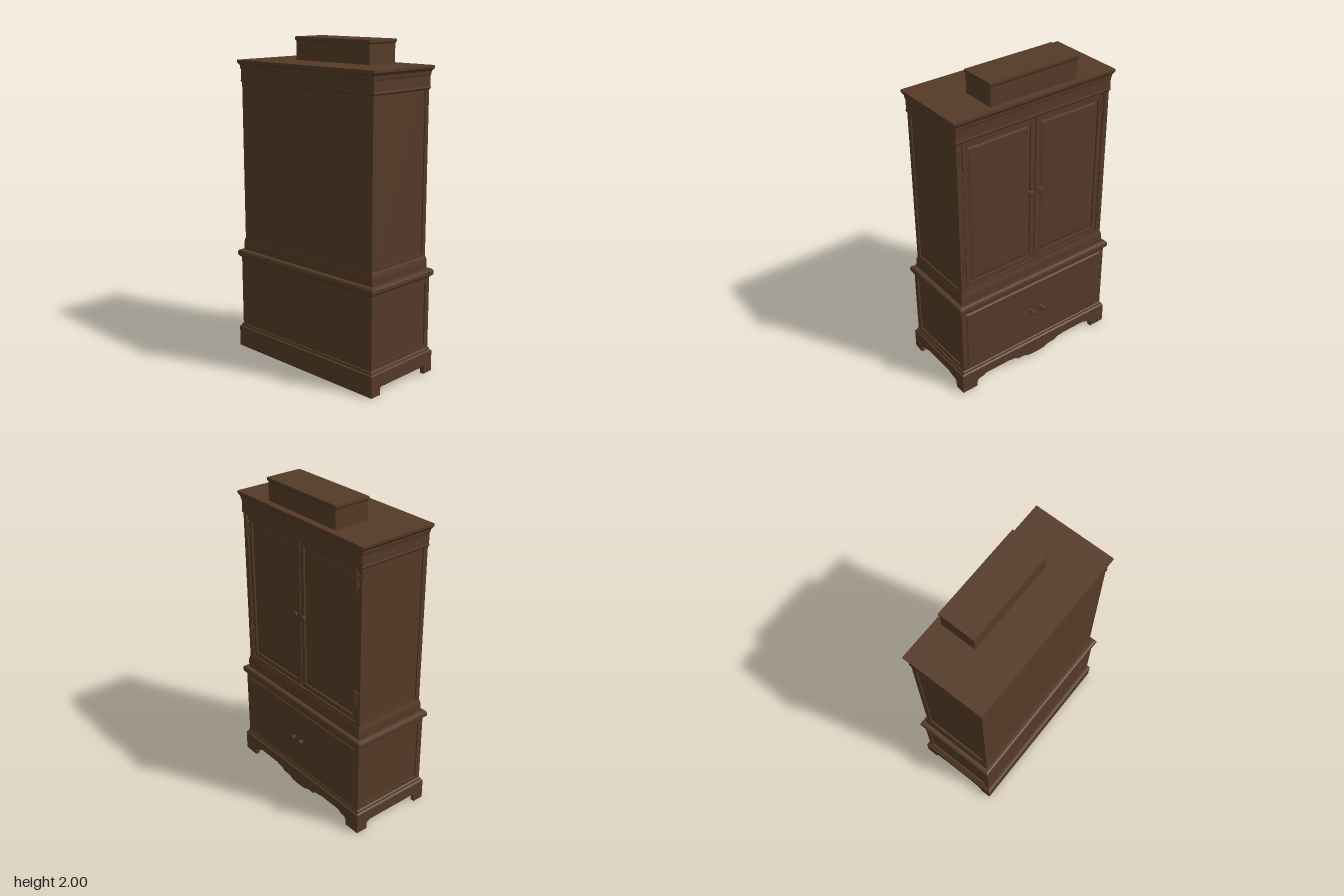
import * as THREE from 'three';

const wood = new THREE.MeshStandardMaterial({ color: 0x553a27 });
wood.name = 'dark walnut';
const ZC = 0.013; // depth centre of the carcass

export function createModel() {
  const root = new THREE.Group();
  root.name = 'armoire';

  const add = (name, geo, x = 0, y = 0, z = 0) => {
    const m = new THREE.Mesh(geo, wood);
    m.name = name;
    m.position.set(x, y, z);
    root.add(m);
    return m;
  };
  // axis-aligned block from minimum and maximum corners
  const block = (name, x0, x1, y0, y1, z0, z1) =>
    add(name, new THREE.BoxGeometry(x1 - x0, y1 - y0, z1 - z0), (x0 + x1) / 2, (y0 + y1) / 2, (z0 + z1) / 2);

  // rectangular moulding: stacked rings of [half width, half depth, height]
  const moulding = (rings) => {
    const pos = [];
    const c = [[-1, 1], [1, 1], [1, -1], [-1, -1]];
    const p = (i, k) => [c[k % 4][0] * rings[i][0], rings[i][2], c[k % 4][1] * rings[i][1]];
    const quad = (a, b, d, e) => pos.push(...a, ...b, ...d, ...a, ...d, ...e);
    for (let i = 0; i < rings.length - 1; i++)
      for (let k = 0; k < 4; k++) quad(p(i, k), p(i, k + 1), p(i + 1, k + 1), p(i + 1, k));
    const t = rings.length - 1;
    quad(p(t, 0), p(t, 1), p(t, 2), p(t, 3));
    quad(p(0, 3), p(0, 2), p(0, 1), p(0, 0));
    const g = new THREE.BufferGeometry();
    g.setAttribute('position', new THREE.Float32BufferAttribute(pos, 3));
    g.computeVertexNormals();
    return g;
  };

  // flat frame with a rectangular opening, centred on its own middle
  const frame = (w, h, border, depth) => {
    const s = new THREE.Shape();
    s.moveTo(-w / 2, -h / 2).lineTo(w / 2, -h / 2).lineTo(w / 2, h / 2).lineTo(-w / 2, h / 2).closePath();
    const a = w / 2 - border, b = h / 2 - border, o = new THREE.Path();
    o.moveTo(-a, -b).lineTo(-a, b).lineTo(a, b).lineTo(a, -b).closePath();
    s.holes.push(o);
    return new THREE.ExtrudeGeometry(s, { depth, bevelEnabled: false }).translate(0, 0, -depth / 2);
  };
  // raised field with sloping edges, facing -z
  const field = (w, h, d, slope) =>
    moulding([[w / 2, h / 2, 0], [w / 2 - slope, h / 2 - slope, d]]).rotateX(-Math.PI / 2);

  // ---- base: solid back, cut-out sides and scrolled front apron ----
  const HW = 0.577, ZB = 0.287, ZF = -0.262;
  const extrude = (s, depth) => new THREE.ExtrudeGeometry(s, { depth, bevelEnabled: false, curveSegments: 8 });
  block('baseBack', -HW, HW, 0, 0.13, ZB - 0.02, ZB);
  block('baseFloor', -HW + 0.02, HW - 0.02, 0.035, 0.07, ZF + 0.03, ZB - 0.02);

  const side = new THREE.Shape();
  side.moveTo(ZF, 0.13).lineTo(ZF, 0).lineTo(-0.187, 0).lineTo(-0.187, 0.03);
  side.quadraticCurveTo(-0.185, 0.055, -0.15, 0.058).quadraticCurveTo(-0.12, 0.06, -0.1, 0.075);
  side.lineTo(0.12, 0.075).quadraticCurveTo(0.14, 0.06, 0.18, 0.058);
  side.quadraticCurveTo(0.212, 0.055, 0.214, 0.03).lineTo(0.214, 0).lineTo(ZB, 0).lineTo(ZB, 0.13).closePath();
  const sideGeo = extrude(side, 0.025).rotateY(-Math.PI / 2);
  add('baseSideLeft', sideGeo, HW);
  add('baseSideRight', sideGeo, -HW + 0.025);

  const apron = new THREE.Shape();
  apron.moveTo(-HW, 0.13).lineTo(-HW, 0).lineTo(-0.47, 0).lineTo(-0.47, 0.03);
  apron.quadraticCurveTo(-0.465, 0.06, -0.42, 0.058).quadraticCurveTo(-0.39, 0.085, -0.33, 0.085);
  apron.quadraticCurveTo(-0.25, 0.09, -0.21, 0.065).quadraticCurveTo(-0.17, 0.07, -0.15, 0.045);
  apron.quadraticCurveTo(-0.09, 0.05, -0.07, 0.032).quadraticCurveTo(0, 0.02, 0.07, 0.032);
  apron.quadraticCurveTo(0.09, 0.05, 0.15, 0.045).quadraticCurveTo(0.17, 0.07, 0.21, 0.065);
  apron.quadraticCurveTo(0.25, 0.09, 0.33, 0.085).quadraticCurveTo(0.39, 0.085, 0.42, 0.058);
  apron.quadraticCurveTo(0.465, 0.06, 0.47, 0.03).lineTo(0.47, 0).lineTo(HW, 0).lineTo(HW, 0.13).closePath();
  add('baseApron', extrude(apron, 0.03), 0, 0, ZF);
  add('baseMoulding', moulding([[HW, 0.2745, 0.125], [HW, 0.2745, 0.132], [0.568, 0.266, 0.138],
    [0.565, 0.263, 0.15], [0.558, 0.258, 0.155]]), 0, 0, ZC);

  // ---- lower chest ----
  block('lowerCarcass', -0.549, 0.549, 0.13, 0.63, -0.24, 0.262);
  block('lowerBack', -0.558, 0.558, 0.15, 0.63, 0.25, 0.271);
  block('lowerFront', -0.558, 0.558, 0.15, 0.63, -0.245, -0.23);
  add('drawerFront', field(1.06, 0.42, 0.008, 0.01), 0, 0.38, -0.244);
  add('waistMoulding', moulding([[0.56, 0.26, 0.605], [0.572, 0.27, 0.615], [HW, 0.2745, 0.622],
    [HW, 0.2745, 0.642], [0.572, 0.27, 0.652], [0.562, 0.262, 0.656]]), 0, 0, ZC);

  // ---- upper cabinet ----
  block('upperCarcass', -0.53, 0.53, 0.65, 1.8, -0.208, 0.24);
  block('upperBack', -0.538, 0.538, 0.65, 1.8, 0.235, 0.252);
  add('upperPlinth', moulding([[0.546, 0.246, 0.65], [0.546, 0.246, 0.705], [0.542, 0.242, 0.725],
    [0.538, 0.239, 0.735]]), 0, 0, ZC);
  add('cornice', moulding([[0.538, 0.239, 1.722], [0.545, 0.246, 1.732], [0.542, 0.243, 1.745],
    [0.542, 0.243, 1.8], [0.546, 0.247, 1.815], [0.546, 0.247, 1.825], [0.552, 0.252, 1.835],
    [0.56, 0.259, 1.845], [0.56, 0.259, 1.86]]), 0, 0, ZC);

  // framed end panels on both stages
  for (const s of [-1, 1]) {
    add('upperSideFrame', frame(0.477, 1.03, 0.03, 0.01).rotateY(Math.PI / 2), s * 0.533, 1.235, ZC + 0.001);
    add('lowerSideFrame', frame(0.516, 0.47, 0.034, 0.011).rotateY(Math.PI / 2), s * 0.5525, 0.38, ZC);
  }

  // ---- doors ----
  add('doorSurround', frame(1.076, 1.03, 0.034, 0.018), 0, 1.235, -0.215);
  for (const s of [-1, 1]) {
    add('doorFrame', frame(0.495, 0.955, 0.03, 0.014), s * 0.251, 1.235, -0.212);
    add('doorPanel', field(0.42, 0.88, 0.006, 0.015), s * 0.251, 1.235, -0.207);
  }

  // ---- paired knobs ----
  const knob = (r, len) => new THREE.LatheGeometry(
    [[0.6, 0], [0.6, 0.1], [0.35, 0.2], [0.35, 0.45], [0.9, 0.58], [1, 0.75], [0.75, 0.93], [0, 1]]
      .map(([a, b]) => new THREE.Vector2(a * r, b * len)), 16).rotateX(-Math.PI / 2);
  for (const s of [-1, 1]) {
    add('doorKnob', knob(0.021, 0.026), s * 0.037, 1.24, -0.217);
    add('drawerKnob', knob(0.021, 0.035), s * 0.037, 0.38, -0.25);
  }

  // ---- hinges with turned barrels and leaf-shaped scrolls ----
  const barrel = new THREE.LatheGeometry(
    [[0, -0.085], [0.005, -0.078], [0.003, -0.068], [0.009, -0.058], [0.006, -0.045], [0.007, 0],
      [0.006, 0.045], [0.009, 0.058], [0.003, 0.068], [0.005, 0.078], [0, 0.085]]
      .map(([a, b]) => new THREE.Vector2(a, b)), 10);
  const leaf = new THREE.Shape();
  leaf.moveTo(0, -0.045).quadraticCurveTo(0.03, -0.05, 0.02, -0.02).quadraticCurveTo(0.012, 0, 0.02, 0.02);
  leaf.quadraticCurveTo(0.03, 0.05, 0, 0.045).closePath();
  const leafGeo = extrude(leaf, 0.006);
  for (const s of [-1, 1])
    for (const [y, k] of [[1.64, 1], [0.92, 0.75]]) {
      add('hingeBarrel', barrel, s * 0.502, y, -0.231).scale.y = k;
      add('hingeLeafInner', leafGeo, s * 0.502, y, -0.229).rotation.z = s > 0 ? Math.PI : 0;
      add('hingeLeafOuter', leafGeo, s * 0.502, y, -0.229).rotation.z = s > 0 ? 0 : Math.PI;
    }

  // ---- box resting on top ----
  add('topBox', moulding([[0.298, 0.112, 1.858], [0.298, 0.112, 1.975], [0.304, 0.118, 1.985],
    [0.304, 0.118, 2]]), 0, 0, -0.093);

  return root;
}
